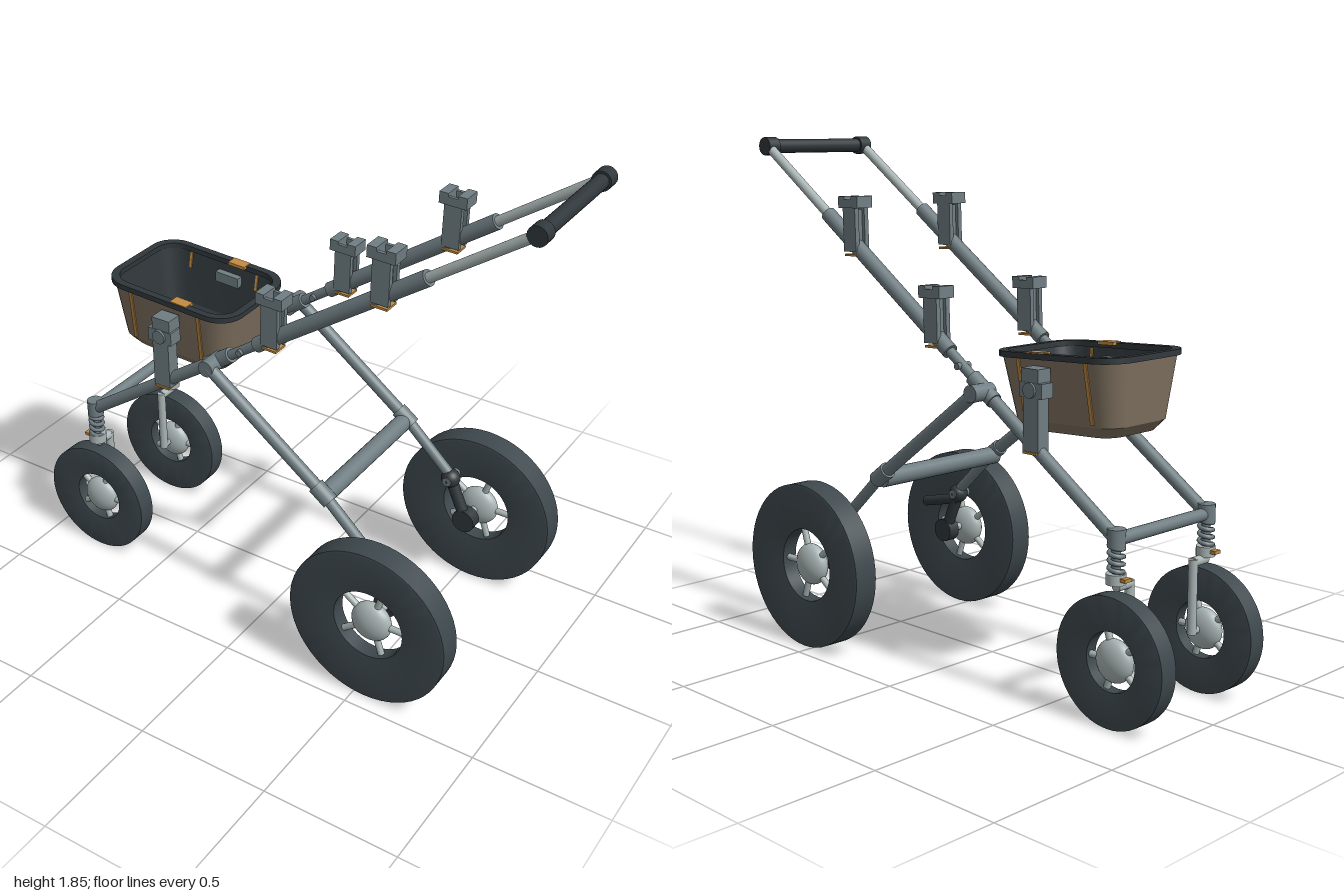
import * as THREE from 'three';
import { toCreasedNormals } from 'three/addons/utils/BufferGeometryUtils.js';

const mat = (name, color) => Object.assign(new THREE.MeshStandardMaterial({ color }), { name });

export function createModel() {
  const steel = mat('steel grey', 0x6f7d82), light = mat('light alloy', 0xa9b4b4);
  const rubber = mat('tyre rubber', 0x3e484d), dark = mat('dark grip', 0x30373b);
  const tan = mat('basket taupe', 0x807260), orange = mat('orange accent', 0xc08a42);
  const root = new THREE.Group();
  root.name = 'pushCart';

  const add = (name, geo, m, x = 0, y = 0, z = 0, parent = root) => {
    const mesh = new THREE.Mesh(geo, m);
    mesh.name = name;
    mesh.position.set(x, y, z);
    parent.add(mesh);
    return mesh;
  };
  // Round bar between two points
  const bar = (name, a, b, r, m, parent = root) => {
    const A = new THREE.Vector3(...a), B = new THREE.Vector3(...b);
    const d = B.clone().sub(A), c = A.clone().add(B).multiplyScalar(0.5);
    const mesh = add(name, new THREE.CylinderGeometry(r, r, d.length(), 20), m, c.x, c.y, c.z, parent);
    mesh.quaternion.setFromUnitVectors(new THREE.Vector3(0, 1, 0), d.normalize());
    return mesh;
  };
  const box = (name, w, h, d, m, x, y, z, parent = root) => add(name, new THREE.BoxGeometry(w, h, d), m, x, y, z, parent);
  const ball = (name, r, m, x, y, z) => add(name, new THREE.SphereGeometry(r, 20, 14), m, x, y, z);
  const railY = (x) => 0.62 + (x + 0.78) * 0.69;

  // Wheel with dished tyre, spokes and hub
  const wheel = (name, x, y, z, R, hole, w, hubR) => {
    const g = new THREE.Group();
    g.name = name;
    g.position.set(x, y, z);
    root.add(g);
    const prof = [[hole, -0.3], [R * 0.97, -0.5], [R, -0.47], [R, 0.47], [R * 0.97, 0.5], [hole, 0.3], [hole, -0.3]];
    const tyre = new THREE.LatheGeometry(prof.map(([r, h]) => new THREE.Vector2(r, h * w)), 56);
    add('tyre', toCreasedNormals(tyre, 0.9), rubber, 0, 0, 0, g).rotation.x = Math.PI / 2;
    add('hub', new THREE.SphereGeometry(hubR, 24, 16), light, 0, 0, 0, g).scale.z = 0.55;
    for (let i = 0; i < 5; i++) {
      const a = i * Math.PI * 0.4, c = Math.cos(a), s = Math.sin(a);
      bar('spoke', [c * hubR * 0.7, s * hubR * 0.7, 0], [c * (hole + 0.008), s * (hole + 0.008), 0], 0.012, light, g);
    }
  };

  // Coil spring of the front suspension
  class Coil extends THREE.Curve {
    getPoint(t, p = new THREE.Vector3()) {
      const a = t * Math.PI * 8;
      return p.set(Math.cos(a) * 0.023, t * 0.1, Math.sin(a) * 0.023);
    }
  }

  // Open cradle post with a notched cap
  const cradle = (x, s) => {
    const g = new THREE.Group();
    g.name = 'cradlePost';
    g.position.set(x, railY(x) - 0.02, s * 0.232);
    g.rotation.z = -0.03;
    root.add(g);
    box('postBack', 0.066, 0.16, 0.018, steel, 0, 0.08, -0.022, g);
    box('postFront', 0.066, 0.16, 0.018, steel, 0, 0.08, 0.022, g);
    box('postCore', 0.04, 0.15, 0.04, steel, 0, 0.075, 0, g);
    for (const k of [-1, 1]) {
      box('capEnd', 0.034, 0.042, 0.07, steel, k * 0.035, 0.176, 0, g);
      box('capWall', 0.04, 0.03, 0.012, steel, 0, 0.17, k * 0.029, g);
    }
    box('orangePad', 0.06, 0.008, 0.06, orange, 0, -0.012, 0, g);
  };

  for (const s of [1, -1]) {
    const z = 0.232 * s, lz = 0.285 * s;
    const rail = (name, x0, x1, r, m) => bar(name, [x0, railY(x0), z], [x1, railY(x1), z], r, m);
    // Telescopic side rail
    rail('lowerRail', -0.78, -0.15, 0.023, steel);
    rail('railSleeve', -0.24, -0.14, 0.028, steel);
    rail('railLink', -0.15, 0.0, 0.018, steel);
    rail('upperRail', -0.03, 0.61, 0.028, steel);
    rail('handlePole', 0.6, 0.96, 0.018, light);
    bar('linkPin', [-0.09, railY(-0.09), z - 0.03 * s], [-0.09, railY(-0.09), z + 0.03 * s], 0.012, steel);
    cradle(0.035, s);
    cradle(0.455, s);

    // Rear leg
    bar('legPivot', [-0.2, 1.02, 0.21 * s], [-0.2, 1.02, 0.307 * s], 0.03, steel);
    bar('rearLeg', [-0.2, 1.02, lz], [0.28, 0.66, lz], 0.023, steel);
    bar('legCollar', [0.24, 0.69, lz], [0.3, 0.645, lz], 0.03, steel);
    bar('legExtension', [0.28, 0.66, lz], [0.47, 0.48, lz], 0.02, steel);
    ball('knuckle', 0.036, dark, 0.47, 0.47, lz);
    bar('knucklePin', [0.47, 0.47, 0.25 * s], [0.47, 0.47, 0.33 * s], 0.018, steel);
    bar('wheelArm', [0.47, 0.47, lz], [0.54, 0.31, lz], 0.022, dark);
    bar('armEnd', [0.54, 0.31, 0.263 * s], [0.54, 0.31, 0.31 * s], 0.045, dark);
    bar('rearAxle', [0.54, 0.31, lz], [0.54, 0.31, 0.4 * s], 0.014, light);
    wheel('rearWheel', 0.54, 0.307, 0.397 * s, 0.304, 0.135, 0.096, 0.077);

    // Front suspension and one-sided fork
    bar('headTube', [-0.78, 0.595, z], [-0.78, 0.655, z], 0.03, steel);
    bar('springCore', [-0.78, 0.47, z], [-0.78, 0.6, z], 0.015, steel);
    add('spring', new THREE.TubeGeometry(new Coil(), 90, 0.008, 6), steel, -0.78, 0.505, z);
    bar('springCollar', [-0.78, 0.475, z], [-0.78, 0.51, z], 0.033, light);
    box('orangeTab', 0.03, 0.012, 0.03, orange, -0.815, 0.495, z);
    bar('forkBridge', [-0.78, 0.465, z], [-0.78, 0.465, 0.165 * s], 0.017, light);
    bar('forkArm', [-0.78, 0.475, 0.165 * s], [-0.78, 0.215, 0.165 * s], 0.016, light);
    bar('frontAxle', [-0.78, 0.225, 0.16 * s], [-0.78, 0.225, 0.235 * s], 0.013, light);
    wheel('frontWheel', -0.78, 0.221, 0.232 * s, 0.219, 0.1, 0.074, 0.073);

    // Clamp carrying the basket
    box('clampPost', 0.068, 0.19, 0.05, steel, -0.43, 0.945, z);
    box('clampPad', 0.06, 0.008, 0.06, orange, -0.43, 0.847, z);
    box('clampBlock', 0.1, 0.05, 0.055, steel, -0.43, 1.055, z);
    box('clampHead', 0.075, 0.05, 0.06, steel, -0.425, 1.1, z - 0.005 * s);
    bar('clampKnob', [-0.43, 1.055, z], [-0.43, 1.055, 0.268 * s], 0.026, steel);
    bar('handleEnd', [0.96, 1.82, 0.2 * s], [0.96, 1.82, 0.25 * s], 0.034, dark);
  }
  // Damper beside the left knuckle
  bar('damper', [0.47, 0.45, 0.28], [0.65, 0.41, 0.28], 0.02, dark);

  // Cross members
  bar('frontCrossbar', [-0.78, 0.62, -0.232], [-0.78, 0.62, 0.232], 0.022, steel);
  bar('rearCrossbar', [0.27, 0.655, -0.285], [0.27, 0.655, 0.285], 0.033, steel);
  bar('handleGrip', [0.96, 1.82, -0.21], [0.96, 1.82, 0.21], 0.026, dark);

  // Rounded rectangular rings lofted through sections [y, halfX, halfZ, corner]
  const loft = (sections) => {
    const pos = [], idx = [], n = 28;
    for (const [y, hx, hz, r] of sections) {
      for (let j = 0; j < n; j++) {
        const q = Math.floor(j / 7), a = (q + (j % 7) / 6) * Math.PI / 2;
        const sx = q === 0 || q === 3 ? 1 : -1, sz = q < 2 ? 1 : -1;
        pos.push(sx * (hx - r) + Math.cos(a) * r, y, sz * (hz - r) + Math.sin(a) * r);
      }
    }
    for (let i = 0; i < sections.length - 1; i++) {
      for (let j = 0; j < n; j++) {
        const a = i * n + j, b = i * n + (j + 1) % n;
        idx.push(a, b, a + n, b, b + n, a + n);
      }
    }
    const g = new THREE.BufferGeometry();
    g.setAttribute('position', new THREE.Float32BufferAttribute(pos, 3));
    g.setIndex(idx);
    return toCreasedNormals(g, 0.5);
  };

  // Basket
  const basket = new THREE.Group();
  basket.name = 'basket';
  basket.position.set(-0.455, 1.16, 0);
  basket.rotation.z = -0.045;
  root.add(basket);
  add('basketShell', loft([[0, 0.268, 0.193, 0.09], [-0.225, 0.23, 0.16, 0.075],
    [-0.262, 0.195, 0.13, 0.06], [-0.262, 0, 0, 0]]), tan, 0, 0, 0, basket);
  add('basketLining', loft([[-0.245, 0, 0, 0], [-0.245, 0.19, 0.125, 0.06],
    [-0.215, 0.22, 0.15, 0.07], [0, 0.257, 0.182, 0.08]]), dark, 0, 0, 0, basket);
  add('basketRim', loft([[0.008, 0.277, 0.202, 0.095], [-0.012, 0.277, 0.202, 0.095],
    [-0.012, 0.25, 0.175, 0.075], [0.008, 0.25, 0.175, 0.075], [0.008, 0.277, 0.202, 0.095]]), dark, 0, 0, 0, basket);
  for (const s of [1, -1]) {
    for (const x of [-0.15, 0.145]) {
      box('orangeStrap', 0.014, 0.205, 0.006, orange, x, -0.115, s * 0.1775, basket).rotation.x = s * 0.145;
      box('innerStrap', 0.01, 0.06, 0.006, orange, x, -0.045, s * 0.174, basket).rotation.x = s * 0.145;
    }
    box('orangeClip', 0.07, 0.012, 0.042, orange, 0.065, 0.006, s * 0.178, basket);
    box('innerBracket', 0.1, 0.04, 0.025, steel, 0.03, -0.06, s * 0.16, basket);
    box('floorRail', 0.26, 0.02, 0.012, dark, -0.01, -0.235, s * 0.12, basket);
  }
  return root;
}
